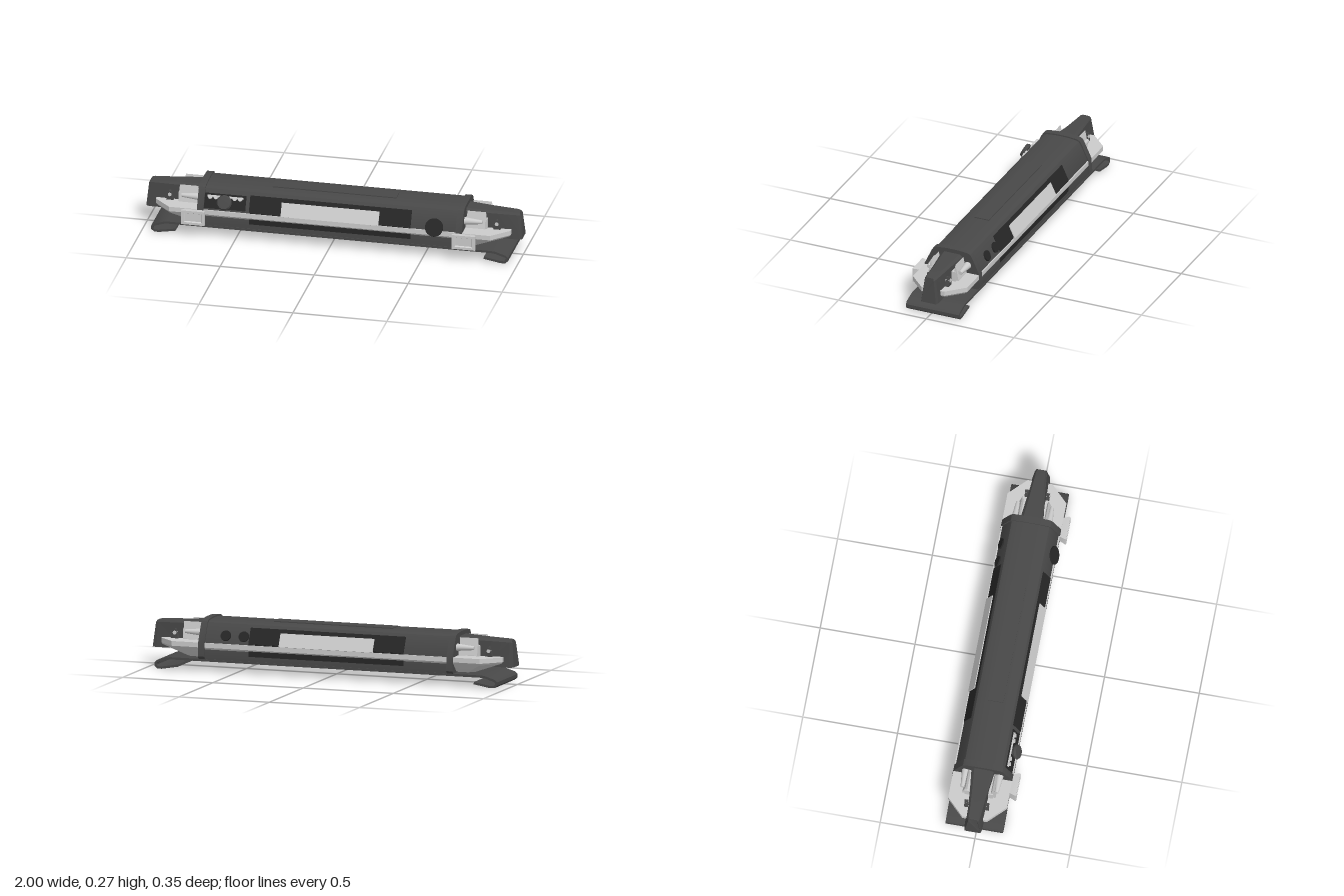
import * as THREE from 'three';
import { toCreasedNormals } from 'three/addons/utils/BufferGeometryUtils.js';

const mat = (color) => new THREE.MeshStandardMaterial({ color, side: THREE.DoubleSide });

export function createModel() {
  const model = new THREE.Group();
  const bar = new THREE.Group();
  bar.name = 'lightBar';
  bar.position.z = -0.013;
  model.add(bar);
  const dark = mat(0x484848), black = mat(0x262626), light = mat(0xcccccc);

  const add = (name, geometry, material, x = 0, y = 0, z = 0) => {
    const mesh = new THREE.Mesh(geometry, material);
    mesh.name = name;
    mesh.position.set(x, y, z);
    bar.add(mesh);
    return mesh;
  };
  const box = (name, m, w, h, d, x, y, z) => add(name, new THREE.BoxGeometry(w, h, d), m, x, y, z);
  const outline = (pts) => new THREE.Shape(pts.map(([x, y]) => new THREE.Vector2(x, y)));
  const extrude = (shape, depth) => {
    const g = new THREE.ExtrudeGeometry(shape, { depth, bevelEnabled: false });
    return g.translate(0, 0, -depth / 2);
  };

  // Mirrored cross-section extruded along x
  const section = (half, length) => {
    const pts = [...half, ...half.map(([u, y]) => [-u, y]).reverse()];
    return toCreasedNormals(extrude(outline(pts), length).rotateY(Math.PI / 2), 0.5);
  };
  // Closed loft through loops of equal point count
  const loft = (loops) => {
    const n = loops[0].length, index = [], last = (loops.length - 1) * n;
    for (let k = 0; k < loops.length - 1; k++) {
      for (let i = 0; i < n; i++) {
        const a = k * n + i, b = k * n + (i + 1) % n;
        index.push(a, a + n, b, b, a + n, b + n);
      }
    }
    for (let i = 1; i < n - 1; i++) index.push(0, i, i + 1, last, last + i + 1, last + i);
    const g = new THREE.BufferGeometry();
    g.setAttribute('position', new THREE.Float32BufferAttribute(loops.flat(2), 3));
    g.setIndex(index);
    return toCreasedNormals(g, 0.4);
  };

  // Mounting plate with both ends curled under into hooks
  const path = [[0.82, 0.022], [0.91, 0.006], [0.932, 0.007], [0.944, 0.017], [0.944, 0.03],
    [0.935, 0.039], [0.88, 0.056], [0.86, 0.058]];
  const centre = [...path, ...path.map(([x, y]) => [-x, y]).reverse()];
  const offset = (s) => centre.map(([x, y], i) => {
    const a = centre[Math.max(i - 1, 0)], b = centre[Math.min(i + 1, centre.length - 1)];
    const dx = b[0] - a[0], dy = b[1] - a[1], l = Math.hypot(dx, dy);
    return [x - dy / l * s, y + dx / l * s];
  });
  const plate = outline([...offset(0.006), ...offset(-0.006).reverse()]);
  add('mountingPlate', toCreasedNormals(extrude(plate, 0.303), 0.6), dark);

  // Tray with clipped corners and tapering underside
  const octagon = (hx, hz, c, y) => [
    [hx, y, hz - c], [hx - c, y, hz], [c - hx, y, hz], [-hx, y, hz - c],
    [-hx, y, c - hz], [c - hx, y, -hz], [hx - c, y, -hz], [hx, y, c - hz]];
  add('tray', loft([
    octagon(0.8, 0.1, 0.03, 0.068), octagon(0.935, 0.148, 0.085, 0.115),
    octagon(0.944, 0.155, 0.09, 0.125), octagon(0.944, 0.155, 0.09, 0.15)]), light);

  // Long hood and the slightly larger collars that close it
  const hood = [[0.148, 0.064], [0.148, 0.155], [0.109, 0.238], [0.099, 0.252], [0.083, 0.258], [0.035, 0.263]];
  const collar = [[0.15, 0.064], [0.161, 0.078], [0.155, 0.155], [0.114, 0.243], [0.104, 0.258],
    [0.088, 0.265], [0.035, 0.27]];
  add('hood', section(hood, 1.38), dark);
  box('hoodRidge', dark, 0.66, 0.008, 0.08, 0, 0.264, 0);
  for (const s of [1, -1]) add('collar', section(collar, 0.035), dark, s * 0.688);

  // Panels lying on the sloping side of the hood
  const slope = Math.atan2(0.039, 0.083);
  const onSlope = (name, g, m, side, x, y, lift) => {
    const u = 0.148 - (y - 0.155) * 0.039 / 0.083 + lift;
    const mesh = add(name, g, m, x, y, side * u);
    mesh.rotation.x = -side * slope;
    return mesh;
  };
  for (const side of [1, -1]) {
    onSlope('window', new THREE.BoxGeometry(0.86, 0.09, 0.004), black, side, 0, 0.196, 0.001);
    box('lowerWindow', black, 0.86, 0.065, 0.004, 0, 0.122, side * 0.148);
    onSlope('panel', new THREE.BoxGeometry(0.52, 0.075, 0.01), light, side, 0, 0.183, 0.003);
  }

  // Round caps on the hood: one in front, two behind
  const cap = (side, x, y, r) => onSlope('roundCap',
    new THREE.CylinderGeometry(r, r, 0.012, 24).rotateX(Math.PI / 2), black, side, x, y, 0.002);
  cap(1, 0.555, 0.165, 0.048);
  cap(-1, 0.46, 0.19, 0.028);
  cap(-1, 0.56, 0.19, 0.028);

  // Control recess with knob and small fittings
  onSlope('controlRecess', new THREE.BoxGeometry(0.22, 0.08, 0.004), black, 1, -0.56, 0.195, 0.001);
  const knob = [[0, 0], [0.02, 0], [0.02, 0.012], [0.036, 0.016], [0.04, 0.026], [0.034, 0.036], [0, 0.038]];
  onSlope('knob', toCreasedNormals(new THREE.LatheGeometry(
    knob.map(([r, y]) => new THREE.Vector2(r, y)), 20).rotateX(Math.PI / 2), 0.5), dark, 1, -0.56, 0.19, 0);
  for (const x of [-0.64, -0.61, -0.51, -0.48]) {
    onSlope('fitting', new THREE.CylinderGeometry(0.011, 0.011, 0.016, 12).rotateX(Math.PI / 2),
      light, 1, x, 0.215, 0.006);
  }
  onSlope('fittingRod', new THREE.CylinderGeometry(0.006, 0.006, 0.19, 10).rotateZ(Math.PI / 2),
    light, 1, -0.56, 0.218, 0.004);

  // Square clip frames, narrower where they meet the tray
  const rect = (w, h, z) => [[-w, -h, z], [w, -h, z], [w, h, z], [-w, h, z]];
  const clip = () => loft([rect(0.043, 0.022, 0.03), rect(0.043, 0.022, 0), rect(0.051, 0.034, 0),
    rect(0.063, 0.039, 0.03), rect(0.063, 0.039, 0.038), rect(0.047, 0.026, 0.038), rect(0.043, 0.022, 0.03)]);

  for (const s of [1, -1]) {
    add('clip', clip(), light, s * 0.72, 0.113, 0.152);
    box('clipInset', dark, 0.04, 0.04, 0.02, s * 0.72, 0.113, 0.158);

    // Tapered end horn: narrow at the tip, wider at its foot
    const ring = (x0, x1, foot, top, y0, y1) => [
      [s * x0, y0, foot], [s * x1, y1 - 0.012, top], [s * (x1 - 0.006), y1, top * 0.75],
      [s * (x1 - 0.006), y1, -top * 0.75], [s * x1, y1 - 0.012, -top], [s * x0, y0, -foot]];
    add('endHorn', loft([ring(0.68, 0.68, 0.062, 0.062, 0.1, 0.25), ring(0.84, 0.84, 0.05, 0.044, 0.098, 0.242),
      ring(0.98, 0.972, 0.047, 0.032, 0.095, 0.238), ring(1, 0.988, 0.042, 0.025, 0.097, 0.235)]), dark);

    for (const side of [1, -1]) {
      // Bracket block and upright fin beside the horn
      box('bracket', light, 0.13, 0.055, 0.024, s * 0.755, 0.178, side * 0.062);
      const fin = outline([[0.052, 0.155], [0.088, 0.155], [0.07, 0.245]]);
      add('fin', extrude(fin, 0.1).rotateY(side * -Math.PI / 2).scale(1, 1, 1), light, s * 0.765);
      // Tapered nozzle pointing outward
      add('nozzle', new THREE.CylinderGeometry(0.01, 0.02, 0.1, 16).rotateZ(-s * Math.PI / 2),
        light, s * 0.75, 0.195, side * 0.09);
      // Bolt and small gusset near the tip
      add('bolt', new THREE.CylinderGeometry(0.01, 0.01, 0.03, 12).rotateX(Math.PI / 2),
        light, s * 0.87, 0.18, side * 0.053);
      const gusset = outline([[-0.02, 0.148], [0.02, 0.148], [0.004, 0.2], [-0.004, 0.2]]);
      add('gusset', extrude(gusset, 0.02), dark, s * 0.87, 0, side * 0.055);
    }
  }
  return model;
}
